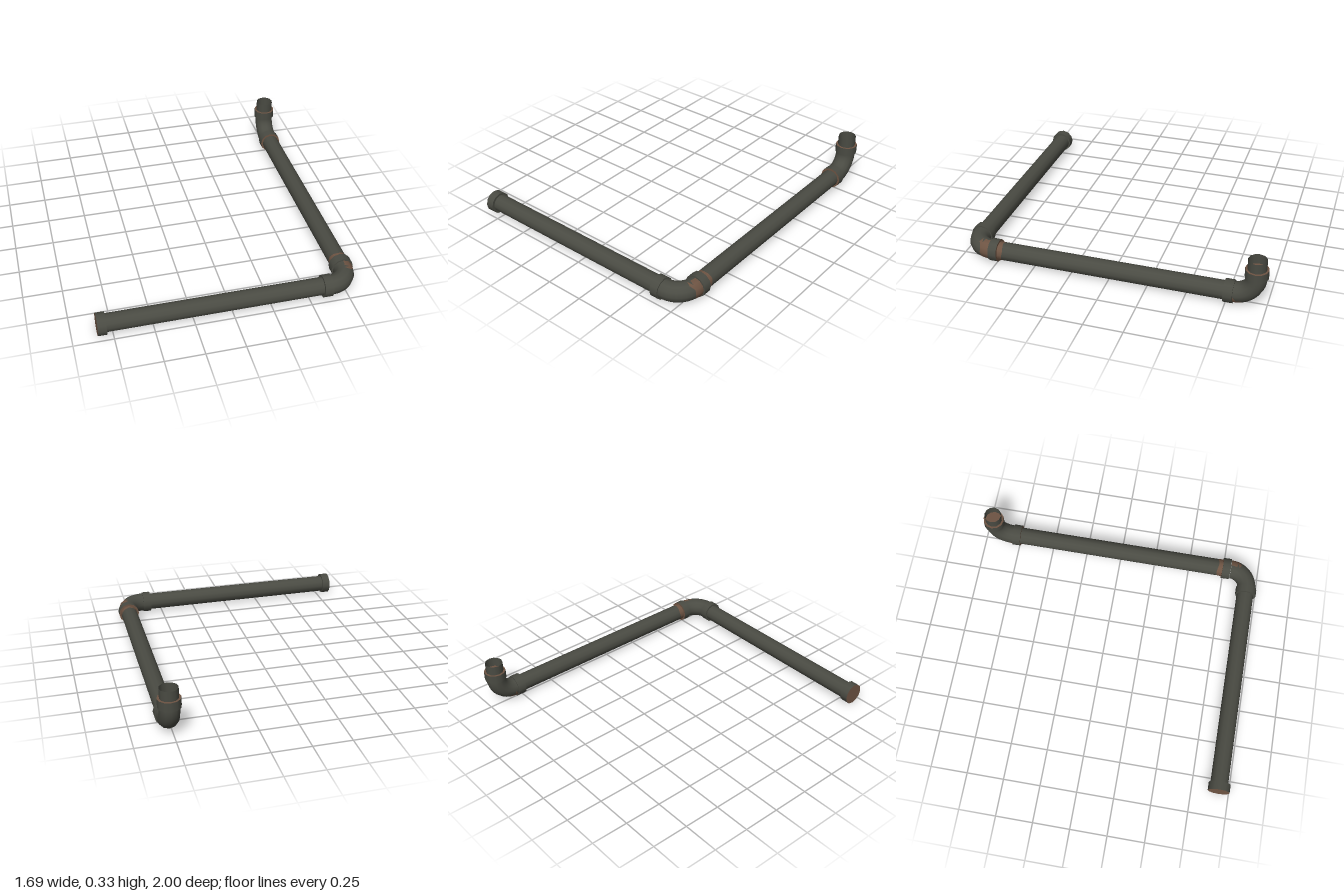
import * as THREE from 'three';

const SIDES = 12, Y = 0.074, X = 0.77, Z = 0.927, BEND = 0.13;
const PIPE_R = 0.059, ELBOW_R = 0.065, COLLAR_R = 0.073;

export function createModel() {
  const model = new THREE.Group();
  model.name = 'pipeRun';
  const iron = new THREE.MeshStandardMaterial({ name: 'dark iron', color: 0x4a4b43 });
  const ironOpen = new THREE.MeshStandardMaterial({ name: 'dark iron', color: 0x4a4b43, side: THREE.DoubleSide });
  const rust = new THREE.MeshStandardMaterial({ name: 'rust', color: 0x6e5443 });

  const up = new THREE.Vector3(0, 1, 0);
  const v = (x, y, z) => new THREE.Vector3(x, y, z);

  // Cylinder running from a to b; materials are [side, cap at b, cap at a]
  function rod(name, a, b, r, mats, open = false) {
    const geo = new THREE.CylinderGeometry(r, r, a.distanceTo(b), SIDES, 1, open);
    const mesh = new THREE.Mesh(geo, mats);
    mesh.name = name;
    mesh.position.copy(a).add(b).multiplyScalar(0.5);
    mesh.quaternion.setFromUnitVectors(up, b.clone().sub(a).normalize());
    model.add(mesh);
    return mesh;
  }

  // Quarter bend from a to b around a centre; faces that pass isRusty get the rust material
  function elbow(name, a, b, centre, isRusty) {
    const arc = new THREE.Curve();
    arc.getPoint = (t, target = new THREE.Vector3()) => target.copy(centre)
      .addScaledVector(a.clone().sub(centre), Math.cos(t * Math.PI / 2))
      .addScaledVector(b.clone().sub(centre), Math.sin(t * Math.PI / 2));
    const geo = new THREE.TubeGeometry(arc, 10, ELBOW_R, SIDES, false);
    const pos = geo.attributes.position, p = new THREE.Vector3(), c = new THREE.Vector3();
    for (let i = 0; i < geo.index.count; i += 3) {
      c.set(0, 0, 0);
      for (let k = 0; k < 3; k++) c.add(p.fromBufferAttribute(pos, geo.index.getX(i + k)));
      geo.addGroup(i, 3, isRusty(c.divideScalar(3)) ? 1 : 0);
    }
    const mesh = new THREE.Mesh(geo, [iron, rust]);
    mesh.name = name;
    model.add(mesh);
  }

  // Straight pipes
  rod('frontPipe', v(-0.82, Y, Z - 0.003), v(0.62, Y, Z - 0.003), PIPE_R, iron);
  rod('sidePipe', v(X, Y, 0.77), v(X, Y, -0.77), PIPE_R, iron);
  rod('topOutlet', v(X, 0.25, -Z), v(X, 0.33, -Z), PIPE_R, ironOpen, true);

  // Collars and end cap
  rod('endCap', v(-0.79, Y, Z), v(-0.845, Y, Z), COLLAR_R, [iron, rust, iron]);
  rod('frontCollar', v(0.585, Y, Z), v(0.64, Y, Z), COLLAR_R, iron);
  rod('cornerCollar', v(X, Y, 0.795), v(X, Y, 0.738), COLLAR_R, [iron, rust, iron]);
  rod('backCollar', v(X, Y, -0.797), v(X, Y, -0.738), COLLAR_R, [iron, rust, iron]);
  rod('outletCollar', v(X, 0.205, -Z), v(X, 0.264, -Z), COLLAR_R, [iron, rust, iron]);

  // Quarter bends
  elbow('cornerElbow', v(X - BEND, Y, Z), v(X, Y, Z - BEND), v(X - BEND, Y, Z - BEND),
    (c) => c.z < 0.86 && c.x > 0.772);
  elbow('backElbow', v(X, Y, -Z + BEND), v(X, Y + BEND, -Z), v(X, Y + BEND, -Z + BEND),
    (c) => c.z > -0.85 && c.y < 0.055);

  // Rust sleeve on the side pipe with an uneven edge
  const sleeve = rod('rustBand', v(X, Y, 0.705), v(X, Y, 0.74), PIPE_R + 0.001, rust, true);
  const sp = sleeve.geometry.attributes.position;
  for (let i = 0; i < sp.count; i++) {
    const wave = Math.sin(Math.atan2(sp.getZ(i), sp.getX(i)) * 3);
    if (sp.getY(i) < 0) sp.setY(i, sp.getY(i) + 0.005 * wave);
  }
  return model;
}
